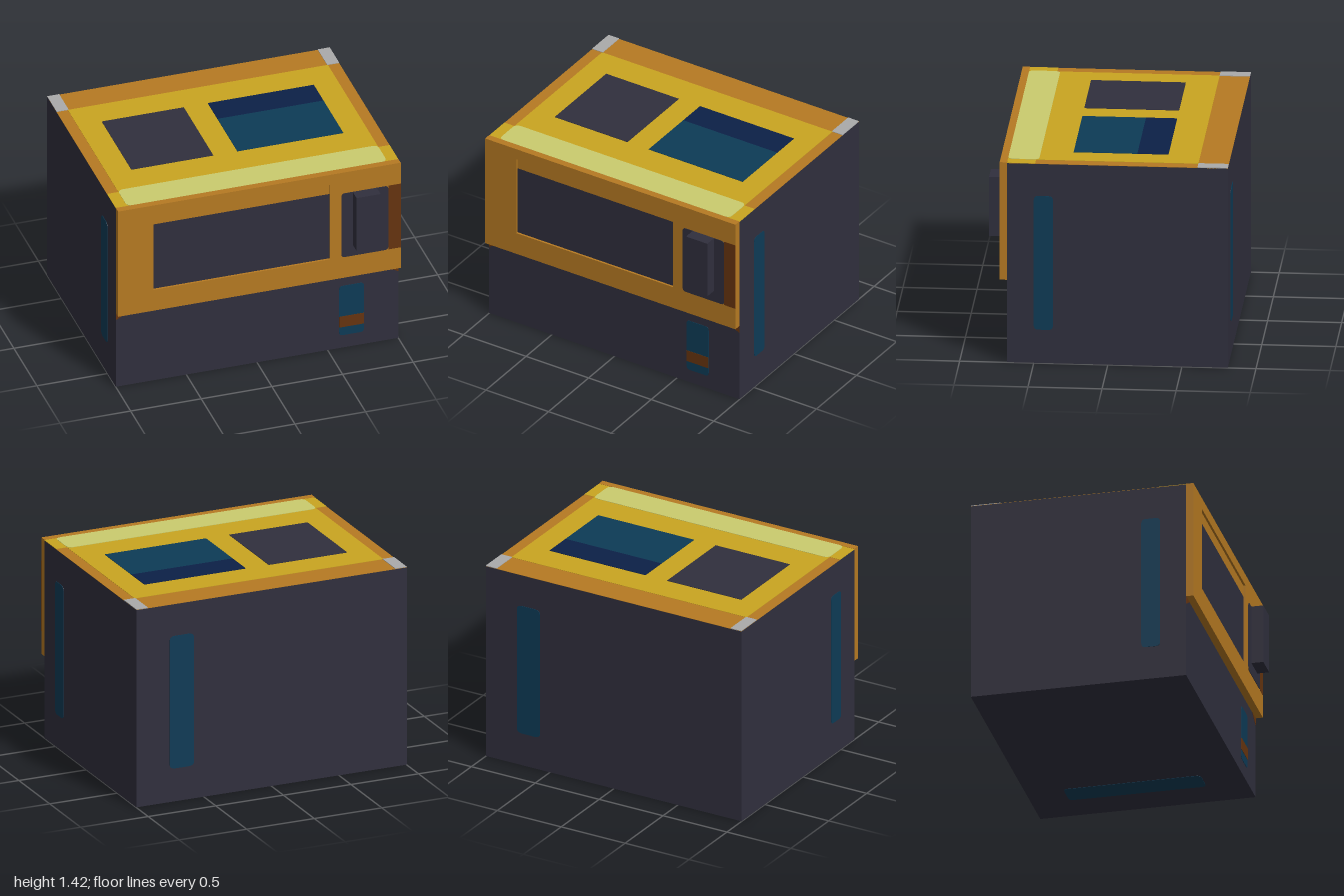
import * as THREE from 'three';

const mat = (name, color) => {
  const m = new THREE.MeshStandardMaterial({ color });
  m.name = name;
  return m;
};

export function createModel() {
  const model = new THREE.Group();
  model.name = 'microwaveOven';

  const charcoal = mat('charcoal', 0x302f3d);
  const orange = mat('orange', 0xb67a22);
  const yellow = mat('yellow', 0xc9a520);
  const pale = mat('paleYellow', 0xcacb6e);
  const teal = mat('teal', 0x0d3b56);
  const navy = mat('navy', 0x0c2047);
  const brown = mat('brown', 0x66340f);
  const grey = mat('grey', 0xaaaaaa);

  const X = 1, TOP = 1.414, BACK = -0.81, FRONT = 0.68, DOOR = 0.73;

  const add = (name, geo, material, parent = model) => {
    const mesh = new THREE.Mesh(geo, material);
    mesh.name = name;
    parent.add(mesh);
    return mesh;
  };

  // Box given by its two opposite corners
  const box = (name, material, x0, x1, y0, y1, z0, z1) =>
    add(name, new THREE.BoxGeometry(x1 - x0, y1 - y0, z1 - z0), material)
      .position.set((x0 + x1) / 2, (y0 + y1) / 2, (z0 + z1) / 2);

  // Rectangle outline with rounded corners
  const outline = (u0, u1, v0, v1, r) => {
    const s = new THREE.Shape();
    s.moveTo(u0 + r, v0);
    s.lineTo(u1 - r, v0);
    s.quadraticCurveTo(u1, v0, u1, v0 + r);
    s.lineTo(u1, v1 - r);
    s.quadraticCurveTo(u1, v1, u1 - r, v1);
    s.lineTo(u0 + r, v1);
    s.quadraticCurveTo(u0, v1, u0, v1 - r);
    s.lineTo(u0, v0 + r);
    s.quadraticCurveTo(u0, v0, u0 + r, v0);
    return s;
  };
  const extrude = (shape, depth) =>
    new THREE.ExtrudeGeometry(shape, { depth, bevelEnabled: false, curveSegments: 4 });

  // Thin rounded plate standing on the front plane z
  const frontPlate = (name, material, u0, u1, v0, v1, r, z, t = 0.003) => {
    add(name, extrude(outline(u0, u1, v0, v1, r), t), material).position.z = z;
  };

  // Main body
  box('body', charcoal, -X, X, 0, TOP, BACK, FRONT);

  // Door frame with window opening
  const frame = new THREE.Shape([[-X, 0.585], [X, 0.585], [X, 1.42], [-X, 1.42]]
    .map(([x, y]) => new THREE.Vector2(x, y)));
  frame.holes.push(new THREE.Path([[-0.75, 0.75], [-0.75, 1.34], [0.5, 1.34], [0.5, 0.75]]
    .map(([x, y]) => new THREE.Vector2(x, y))));
  add('doorFrame', extrude(frame, DOOR - FRONT), orange).position.z = FRONT;
  box('window', charcoal, -0.75, 0.5, 0.75, 1.26, FRONT, 0.715);
  box('windowTopStrip', orange, -0.75, 0.5, 1.26, 1.34, FRONT, 0.715);

  // Control panel and handle
  frontPlate('controlPanel', charcoal, 0.58, 0.912, 0.75, 1.255, 0.025, DOOR);
  box('panelEdge', brown, 0.912, X, 0.75, 1.255, DOOR, DOOR + 0.002);
  box('handle', charcoal, 0.66, 0.83, 0.835, 1.255, DOOR, 0.815);

  // Lower front: brown corner triangles and label strip
  for (const s of [-1, 1]) {
    const pts = [[s, 0.53], [s, 0.585], [s * 0.9, 0.585]].map(([x, y]) => new THREE.Vector2(x, y));
    add('cornerTriangle', extrude(new THREE.Shape(pts), 0.002), brown).position.z = FRONT;
  }
  frontPlate('frontStrip', teal, 0.58, 0.755, 0.1, 0.49, 0.025, FRONT);
  box('frontStripBand', brown, 0.58, 0.755, 0.165, 0.25, FRONT, FRONT + 0.005);

  // Long strips on both sides, the back and the underside
  const strip = (name) => add(name, extrude(outline(-0.065, 0.065, -0.475, 0.475, 0.03), 0.003), teal);
  for (const s of [-1, 1]) {
    const side = strip('sideStrip');
    side.rotation.y = s * Math.PI / 2;
    side.position.set(s * X, 0.712, 0.435);
  }
  const back = strip('backStrip');
  back.rotation.y = Math.PI;
  back.scale.x = 1.38;
  back.position.set(0.665, 0.712, BACK);
  const bottom = strip('bottomStrip');
  bottom.rotation.x = Math.PI / 2;
  bottom.scale.x = 1.38;
  bottom.position.set(0.665, 0.0, -0.075);
  bottom.scale.z = 0.7;

  // Top panels, stacked in thin layers
  const topPlate = (name, material, x0, x1, z0, z1, layer) =>
    box(name, material, x0, x1, TOP, TOP + 0.002 * layer, z0, z1);
  topPlate('topBorder', orange, -X, X, BACK, FRONT, 1);
  topPlate('topPanel', yellow, -0.92, 0.92, -0.605, FRONT, 2);
  topPlate('topFrontEdge', yellow, -X, X, 0.49, FRONT, 2);
  topPlate('darkSquare', charcoal, -0.75, -0.17, -0.39, 0.25, 3.5);
  topPlate('screenDark', navy, 0, 0.75, -0.39, -0.18, 3.5);
  topPlate('screenLight', teal, 0, 0.75, -0.18, 0.25, 3.5);
  for (const s of [-1, 1]) {
    topPlate('greyCorner', grey, s < 0 ? -X : 0.915, s < 0 ? -0.915 : X, BACK, -0.605, 3);
  }
  const paleStrip = add('paleStrip', extrude(outline(-0.92, 0.92, -FRONT, -0.47, 0.04), 0.0065), pale);
  paleStrip.rotation.x = -Math.PI / 2;
  paleStrip.position.y = TOP;

  return model;
}
